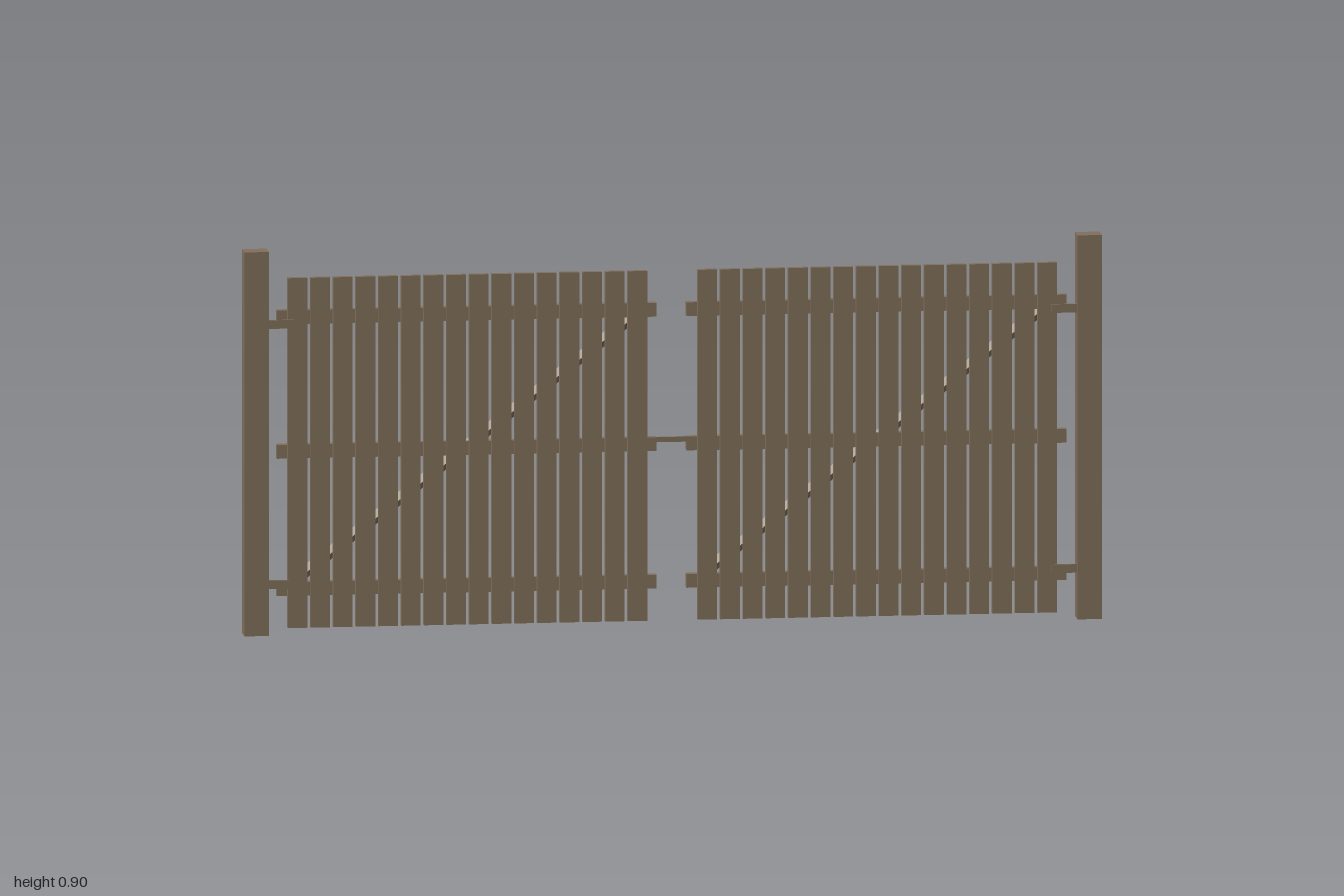
import * as THREE from 'three';

const wood = new THREE.MeshStandardMaterial({ color: 0x7f6e5a });
wood.name = 'weathered wood';

// Box given by its min and max corners
function box(name, x0, x1, y0, y1, z0, z1) {
  const mesh = new THREE.Mesh(new THREE.BoxGeometry(x1 - x0, y1 - y0, z1 - z0), wood);
  mesh.position.set((x0 + x1) / 2, (y0 + y1) / 2, (z0 + z1) / 2);
  mesh.name = name;
  return mesh;
}

// Square bar set on edge, running between two points
function brace(a, b, radius) {
  const dir = b.clone().sub(a);
  const geometry = new THREE.CylinderGeometry(radius, radius, dir.length(), 4).toNonIndexed();
  geometry.computeVertexNormals();
  const mesh = new THREE.Mesh(geometry, wood);
  mesh.position.copy(a).add(b).multiplyScalar(0.5);
  mesh.rotation.z = Math.atan2(dir.y, dir.x) - Math.PI / 2;
  mesh.name = 'diagonalBrace';
  return mesh;
}

// One gate leaf, centred on x
function createLeaf(name, cx) {
  const leaf = new THREE.Group();
  leaf.name = name;

  // Vertical pickets
  const count = 16, width = 0.045, first = -0.419;
  const pitch = (0.838 - width) / (count - 1);
  for (let i = 0; i < count; i++) {
    const x = cx + first + i * pitch;
    leaf.add(box('picket', x, x + width, 0.015, 0.835, 0, 0.015));
  }

  // Horizontal rails behind the pickets
  for (const y of [0.104, 0.426, 0.741]) {
    leaf.add(box('rail', cx - 0.443, cx + 0.443, y - 0.016, y + 0.016, -0.02, 0));
  }

  // Diagonal, low on the right side and high on the left
  leaf.add(brace(
    new THREE.Vector3(cx - 0.406, 0.118, -0.014),
    new THREE.Vector3(cx + 0.406, 0.737, -0.014), 0.014));
  return leaf;
}

export function createModel() {
  const gate = new THREE.Group();
  gate.name = 'doubleGate';

  gate.add(createLeaf('rightLeaf', -0.478), createLeaf('leftLeaf', 0.478));

  for (const side of [-1, 1]) {
    // Post at each end
    const post = box('post', -0.0285, 0.0285, 0, 0.9, -0.02, 0.03);
    post.position.x = side * 0.9715;
    gate.add(post);

    // Hinge straps from the post onto the outer picket
    for (const y of [0.118, 0.728]) {
      const hinge = box('hingeStrap', -0.037, 0.037, y - 0.01, y + 0.01, 0.014, 0.02);
      hinge.position.x = side * 0.92;
      gate.add(hinge);
    }
  }

  // Latch bar between the leaves
  gate.add(box('latchBar', -0.04, 0.04, 0.434, 0.446, 0.016, 0.021));
  return gate;
}
